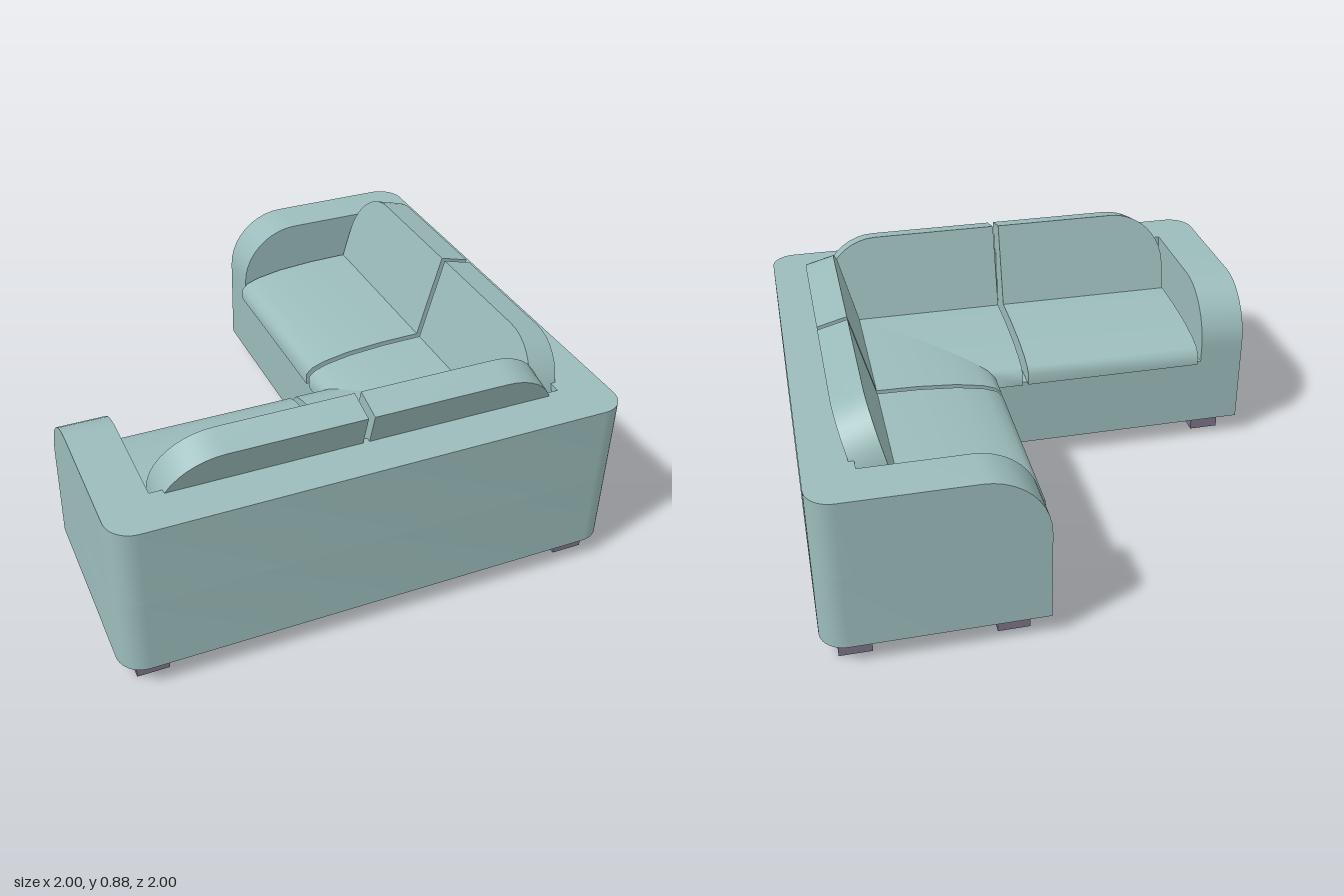
import * as THREE from 'three';
import { toCreasedNormals } from 'three/addons/utils/BufferGeometryUtils.js';

const fabric = new THREE.MeshStandardMaterial({ color: 0x9bbcbb });
fabric.name = 'teal fabric';
const legPaint = new THREE.MeshStandardMaterial({ color: 0x7d7488 });
legPaint.name = 'grey leg';

const extrude = (shape, depth) =>
  new THREE.ExtrudeGeometry(shape, { depth, bevelEnabled: false, curveSegments: 5 });

const SWAP_XZ = new THREE.Matrix4().set(0, 0, 1, 0, 0, 1, 0, 0, 1, 0, 0, 0, 0, 0, 0, 1);

// reflect a non-indexed geometry across the diagonal x = z, keeping faces outward
function reflected(geometry) {
  const g = geometry.clone().applyMatrix4(SWAP_XZ);
  const index = [];
  for (let i = 0; i < g.attributes.position.count; i += 3) index.push(i, i + 2, i + 1);
  g.setIndex(index);
  return g;
}

// L-shaped plan with three rounded outer corners; inner is the inside edge
function lPlan(inner) {
  const s = new THREE.Shape();
  s.moveTo(-1, inner);
  s.lineTo(-1, 0.9);
  s.absarc(-0.9, 0.9, 0.1, Math.PI, Math.PI / 2, true);
  s.absarc(0.9, 0.9, 0.1, Math.PI / 2, 0, true);
  s.absarc(0.9, -0.9, 0.1, 0, -Math.PI / 2, true);
  s.lineTo(inner, -1);
  s.lineTo(inner, inner);
  s.closePath();
  return s;
}

function lBlock(inner, bottom, top) {
  const g = extrude(lPlan(inner), top - bottom);
  g.rotateX(Math.PI / 2).translate(0, top, 0);
  return toCreasedNormals(g, 0.8);
}

// arm with a rounded front top edge
function armGeometry() {
  const s = new THREE.Shape();
  s.moveTo(0.81, 0.4);
  s.lineTo(0.81, 0.72);
  s.lineTo(0.405, 0.72);
  s.absarc(0.405, 0.47, 0.25, Math.PI / 2, Math.PI, false);
  s.lineTo(0.155, 0.4);
  s.closePath();
  return toCreasedNormals(extrude(s, 0.19).translate(0, 0, -1), 0.8);
}

// seat cushion with a soft nose; a mitred one ends on the diagonal
function seatGeometry(z0, z1, mitred) {
  const profile = [[0.13, 0.4], [0.13, 0.45], [0.155, 0.475], [0.21, 0.495],
    [0.32, 0.515], [0.48, 0.527], [0.65, 0.53], [0.78, 0.53], [0.78, 0.4]];
  const s = new THREE.Shape(profile.map(([x, y]) => new THREE.Vector2(x, y)));
  const g = extrude(s, z1 - z0).translate(0, 0, z0);
  if (mitred) {
    const p = g.attributes.position;
    for (let i = 0; i < p.count; i++) if (p.getZ(i) > z0 + 0.001) p.setZ(i, p.getX(i));
  }
  return toCreasedNormals(g, 0.8);
}

// leaning back cushion, rounded at its outer top corner
function backGeometry(outer, inner) {
  const dir = Math.sign(inner - outer), r = 0.24, h = 0.4;
  const s = new THREE.Shape();
  s.moveTo(inner, 0);
  s.lineTo(inner, h);
  s.lineTo(outer + dir * r, h);
  s.absarc(outer + dir * r, h - r, r, Math.PI / 2, dir > 0 ? Math.PI : 0, dir < 0);
  s.lineTo(outer, 0);
  s.closePath();
  const g = extrude(s, 0.125);
  g.rotateY(-Math.PI / 2).rotateZ(-Math.PI / 12).translate(0.762, 0.464, 0);
  return toCreasedNormals(g, 0.8);
}

export function createModel() {
  const sofa = new THREE.Group();
  sofa.name = 'cornerSofa';
  const add = (name, geometry, material = fabric) => {
    const mesh = new THREE.Mesh(geometry, material);
    mesh.name = name;
    sofa.add(mesh);
    return mesh;
  };

  // frame
  add('base', lBlock(0.155, 0.09, 0.4));
  add('backFrame', lBlock(0.81, 0.4, 0.72));

  // each part appears on both wings of the L
  const wingParts = {
    arm: armGeometry(),
    seatCushion: seatGeometry(-0.785, -0.015, false),
    cornerSeatHalf: seatGeometry(0.01, 0.5, true),
    backCushion: backGeometry(-0.785, -0.015),
    cornerBackCushion: backGeometry(0.785, 0.01),
  };
  for (const [name, geometry] of Object.entries(wingParts)) {
    add(name + 'Side', geometry);
    add(name + 'Front', reflected(geometry));
  }

  // legs
  const legGeometry = new THREE.BoxGeometry(0.125, 0.09, 0.125);
  const feet = [[-0.875, 0.875], [0.875, 0.875], [0.875, -0.875], [-0.875, 0.285], [0.285, -0.875]];
  for (const [x, z] of feet) add('leg', legGeometry, legPaint).position.set(x, 0.045, z);

  return sofa;
}
